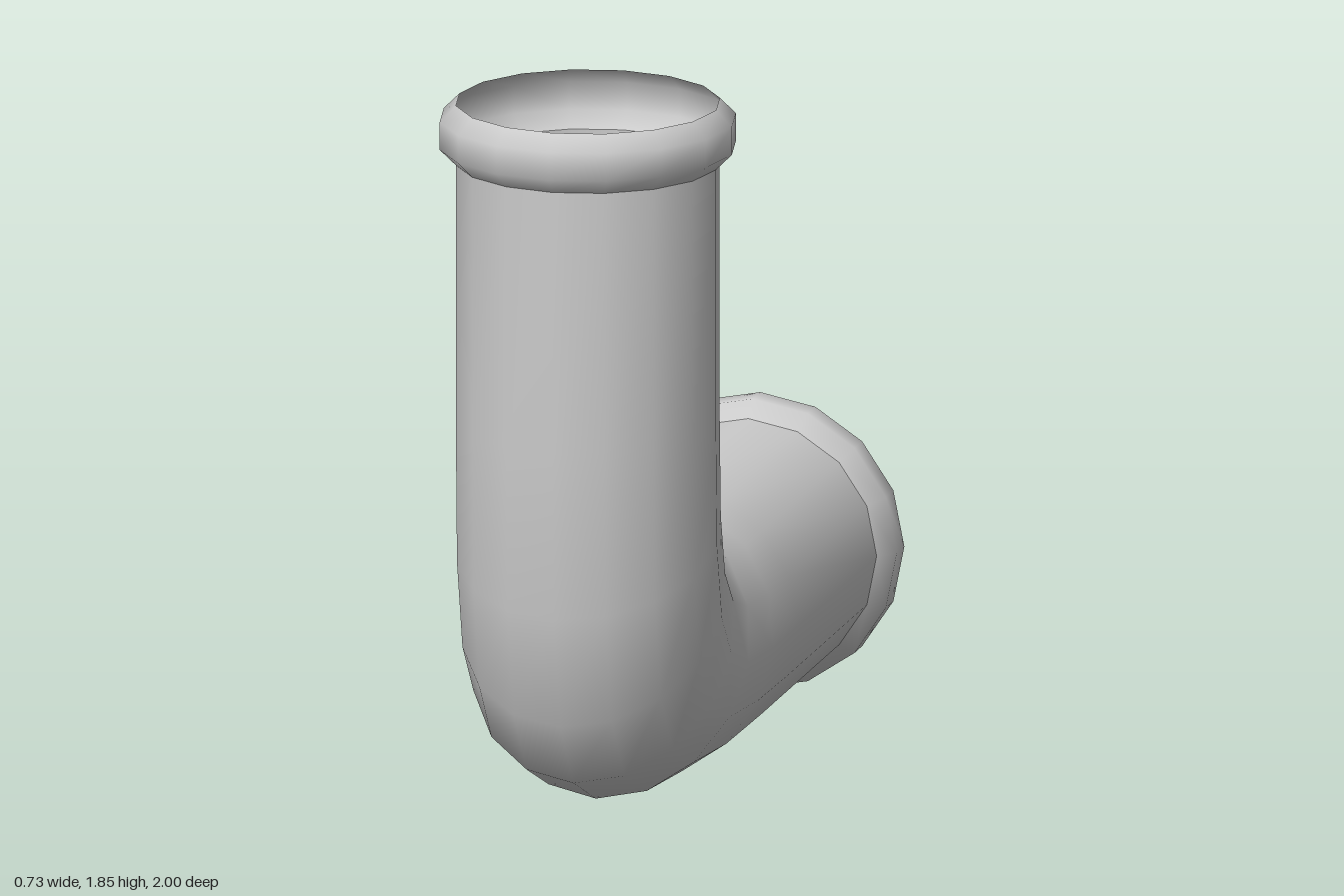
import * as THREE from 'three';

const SIDES = 16;
const R = 0.325;   // pipe radius
const LIP = 0.365; // collar radius
const AZ = 0.635;  // z of the upright axis
const AY = 0.365;  // y of the level axis

// Skin rings given as [outer z, outer y, inner z, inner y, half width in x]
function loft(name, rings, material) {
  const pos = [], index = [];
  for (const [oz, oy, iz, iy, rx] of rings) {
    for (let j = 0; j < SIDES; j++) {
      const t = (j / SIDES) * Math.PI * 2, c = Math.cos(t);
      pos.push(rx * Math.sin(t), (oy + iy) / 2 + ((oy - iy) / 2) * c, (oz + iz) / 2 + ((oz - iz) / 2) * c);
    }
  }
  for (let i = 0; i < rings.length - 1; i++) {
    for (let j = 0; j < SIDES; j++) {
      const k = (j + 1) % SIDES;
      const a = i * SIDES + j, b = i * SIDES + k, c = a + SIDES, d = b + SIDES;
      index.push(a, c, b, b, c, d);
    }
  }
  const geo = new THREE.BufferGeometry();
  geo.setAttribute('position', new THREE.Float32BufferAttribute(pos, 3));
  geo.setIndex(index);
  geo.computeVertexNormals();
  const mesh = new THREE.Mesh(geo, material);
  mesh.name = name;
  return mesh;
}

// Round rings square to each leg
const upright = (y, r) => [AZ + r, y, AZ - r, y, r];
const level = (z, r) => [z, AY - r, z, AY + r, r];

export function createModel() {
  const group = new THREE.Group();
  group.name = 'pipeElbow';
  const material = new THREE.MeshStandardMaterial({ color: 0xcccccc, side: THREE.DoubleSide });

  // Open pipe: upright leg, mitred bend, level leg
  group.add(loft('elbowPipe', [
    upright(1.7, R),
    [0.96, 1.04, 0.31, 1.04, R],
    [0.95, 0.62, 0.30, 0.87, R],
    [0.89, 0.335, 0.27, 0.775, R],
    [0.77, 0.165, 0.21, 0.72, R],
    [0.56, 0.075, 0.11, 0.695, R],
    [0.23, 0.045, -0.02, 0.69, R],
    level(-0.13, R),
    level(-0.85, R),
  ], material));

  // Bulged collars at both open ends: [distance from the mouth, radius]
  const profile = [[0, R], [0.04, LIP], [0.11, LIP], [0.15, R]];
  group.add(loft('topCollar', profile.map(([d, r]) => upright(1.85 - d, r)), material));
  group.add(loft('backCollar', profile.map(([d, r]) => level(-1 + d, r)).reverse(), material));
  return group;
}
